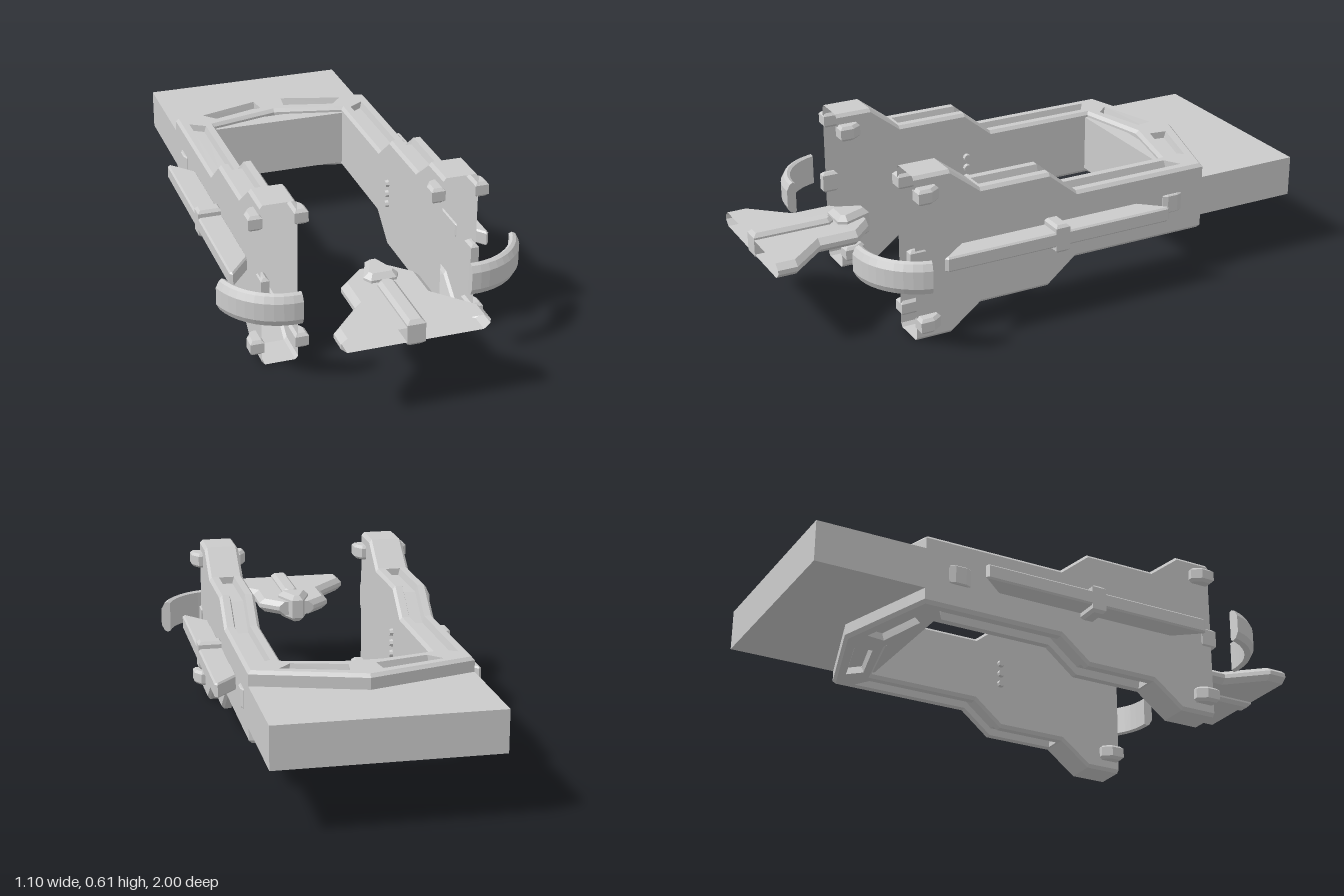
import * as THREE from 'three';

const MID = 0.307; // height of the horizontal mirror plane
const material = new THREE.MeshStandardMaterial({
  color: 0xcccccc, flatShading: true, side: THREE.DoubleSide,
});

function add(parent, name, geometry) {
  const mesh = new THREE.Mesh(geometry, material);
  mesh.name = name;
  parent.add(mesh);
  return mesh;
}

// Skin over closed rings of [x, y, z] points, with optional end caps
function loft(rings, capStart = false, capEnd = false) {
  const pos = [];
  const tri = (a, b, c) => pos.push(...a, ...b, ...c);
  for (let i = 0; i + 1 < rings.length; i++) {
    const A = rings[i], B = rings[i + 1], n = A.length;
    for (let j = 0; j < n; j++) {
      const k = (j + 1) % n;
      tri(A[j], B[j], A[k]);
      tri(A[k], B[j], B[k]);
    }
  }
  const cap = (r, flip) => {
    for (let j = 1; j + 1 < r.length; j++) {
      if (flip) tri(r[0], r[j + 1], r[j]); else tri(r[0], r[j], r[j + 1]);
    }
  };
  if (capStart) cap(rings[0], false);
  if (capEnd) cap(rings[rings.length - 1], true);
  const g = new THREE.BufferGeometry();
  g.setAttribute('position', new THREE.Float32BufferAttribute(pos, 3));
  g.computeVertexNormals();
  return g;
}

// Bevelled slab: [x, z] outline between two heights
function slab(points, y0, y1, b = 0.01) {
  const shape = new THREE.Shape(points.map(([x, z]) => new THREE.Vector2(x, z)));
  const g = new THREE.ExtrudeGeometry(shape, {
    depth: y1 - y0 - 2 * b, bevelEnabled: b > 0, bevelSegments: 1,
    bevelSize: b, bevelThickness: b, bevelOffset: -b,
  });
  return g.rotateX(Math.PI / 2).translate(0, y1 - b, 0);
}

// One frame section from outer [x, z] to inner [x, z]; h = half height, d = groove depth
function frameRing([ox, oz], [ix, iz], h, d = 0) {
  const e = 0.012;
  const chain = [[0, h - e], [0.08, h], [0.28, h], [0.33, h - d],
    [0.67, h - d], [0.72, h], [0.92, h], [1, h - e]];
  const at = ([t, y]) => [ox + (ix - ox) * t, MID + y, oz + (iz - oz) * t];
  const below = chain.map(([t, y]) => [t, -y]).reverse();
  return [...chain, ...below].map(at);
}

function buildFrame(group) {
  const arm = (z, h, d = 0) => frameRing([0.39, z], [0.26, z], h, d);
  const corner = { o: [0.39, -0.6], i: [0.26, -0.5] };
  const centre = { o: [0, -0.72], i: [0, -0.56] };
  const mix = (a, b, u) => a.map((v, k) => v + (b[k] - v) * u);
  const brace = (u, d = 0) =>
    frameRing(mix(corner.o, centre.o, u), mix(corner.i, centre.i, u), 0.128, d);
  const G = 0.026;
  const half = [
    arm(0.56, 0.307), arm(0.425, 0.307), arm(0.31, 0.218), arm(0.3, 0.218),
    arm(0.3, 0.218, G), arm(0.04, 0.218, G), arm(-0.07, 0.128, G), arm(-0.42, 0.128, G),
    frameRing([0.39, -0.55], [0.26, -0.47], 0.128, G),
    frameRing([0.39, -0.55], [0.26, -0.47], 0.128),
    brace(0), brace(0.2), brace(0.2, G), brace(0.84, G), brace(0.84), brace(1),
  ];
  const other = half.slice(0, -1).reverse().map(r => r.map(([x, y, z]) => [-x, y, z]));
  // Hollow U-shaped frame, open at its two front ends
  add(group, 'frame', loft([...half, ...other]));
  const wall = new THREE.BoxGeometry(0.53, 0.215, 0.06);
  add(group, 'backInnerWall', wall.translate(0, MID, -0.52));
  const block = new THREE.BoxGeometry(0.78, 0.15, 0.41);
  add(group, 'rearBlock', block.translate(0, MID, -0.795));
}

function buildSide(s) {
  const side = new THREE.Group();
  side.name = s > 0 ? 'leftSideFittings' : 'rightSideFittings';
  const m = pts => pts.map(([x, z]) => [x * s, z]);

  // Corner clips on both faces of the arm, top and bottom
  for (const y of [0.04, 0.52]) {
    add(side, 'outerClip', slab(m([[0.38, 0.475], [0.407, 0.475], [0.43, 0.51],
      [0.43, 0.56], [0.38, 0.56]]), y, y + 0.056));
    add(side, 'innerClip', slab(m([[0.27, 0.475], [0.243, 0.475], [0.22, 0.51],
      [0.22, 0.56], [0.27, 0.56]]), y, y + 0.056));
  }
  // Hook on the front edge
  add(side, 'frontHook', slab(m([[0.365, 0.52], [0.395, 0.52], [0.395, 0.58],
    [0.365, 0.58]]), 0.268, 0.348));

  // Long side fin with its clamp
  add(side, 'sideFin', slab(m([[0.385, -0.32], [0.465, -0.41], [0.475, -0.4],
    [0.475, 0.475], [0.465, 0.485], [0.385, 0.385]]), 0.28, 0.335, 0.006));
  add(side, 'finClamp', slab(m([[0.385, 0.005], [0.475, 0.005], [0.475, 0.06],
    [0.385, 0.06]]), 0.255, 0.36));

  // Small catch near the back and studs on the inner face
  add(side, 'rearCatch', slab(m([[0.385, -0.43], [0.392, -0.43], [0.4, -0.45],
    [0.4, -0.49], [0.392, -0.51], [0.385, -0.51]]), 0.272, 0.342, 0.004));
  for (const y of [-0.042, 0, 0.042]) {
    const stud = new THREE.CylinderGeometry(0.012, 0.016, 0.016, 8);
    stud.rotateZ(s * Math.PI / 2).translate(s * 0.256, MID + y, 0.035);
    add(side, 'innerStud', stud);
  }

  // Curved grip: bevelled band swept through an arc
  const section = [[0.24, 0.032], [0.228, 0.055], [0.216, 0.061], [0.205, 0.055],
    [0.205, -0.055], [0.216, -0.061], [0.228, -0.055], [0.24, -0.032]];
  const rings = [];
  for (let i = 0; i <= 10; i++) {
    const a = THREE.MathUtils.degToRad(14 + 80 * i / 10);
    rings.push(section.map(([r, y]) =>
      [s * (0.315 + r * Math.cos(a)), MID + y, 0.51 + r * Math.sin(a)]));
  }
  add(side, 'curvedGrip', loft(s > 0 ? rings : rings.reverse(), true, true));
  return side;
}

function buildFrontPlate() {
  const plate = new THREE.Group();
  plate.name = 'frontPlate';
  // Hollow flared body, open at the front
  const ring = ([z, w]) => {
    const b = w - 0.022;
    return [[w, 0.008], [b, 0.027], [-b, 0.027], [-w, 0.008],
      [-w, -0.008], [-b, -0.027], [b, -0.027], [w, -0.008]].map(([x, y]) => [x, MID + y, z]);
  };
  const stations = [[1, 0.257], [0.93, 0.257], [0.8, 0.14], [0.66, 0.14], [0.59, 0.07]];
  add(plate, 'plateBody', loft(stations.map(ring), false, true));
  // Central spine and the hood behind it
  add(plate, 'centreSpine', slab([[-0.032, 1], [-0.032, 0.72], [-0.016, 0.7],
    [0.016, 0.7], [0.032, 0.72], [0.032, 1]], 0.26, 0.354, 0.013));
  add(plate, 'hood', slab([[-0.062, 0.665], [-0.022, 0.565], [0.022, 0.565],
    [0.062, 0.665], [0.045, 0.695], [-0.045, 0.695]], 0.253, 0.361, 0.018));
  return plate;
}

export function createModel() {
  const model = new THREE.Group();
  model.name = 'clampFrame';
  buildFrame(model);
  for (const s of [1, -1]) model.add(buildSide(s));
  model.add(buildFrontPlate());
  return model;
}
